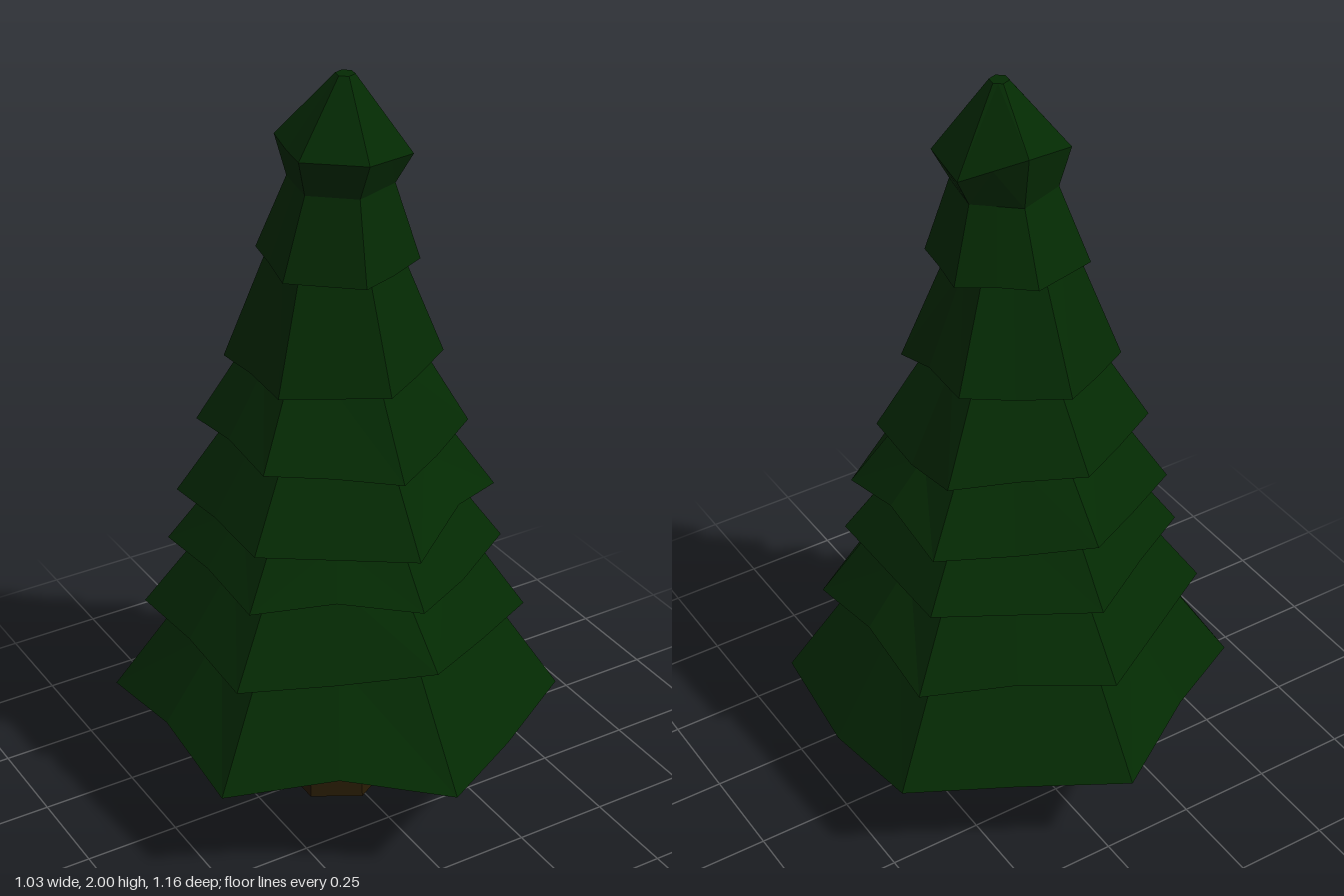
import * as THREE from 'three';

const SIDES = 12; // six corners plus the middle of each hexagon edge

// Hexagonal ring from twelve heights, starting at +z and turning towards +x;
// flare widens it where it dips, so that it stays on a sloping face
function ring(radius, heights, { x = 0, z = 0, turn = 0 }, flare = 0) {
  const mean = heights.reduce((sum, y) => sum + y, 0) / SIDES;
  return heights.map((y, k) => {
    const a = (k * Math.PI) / 6 + turn;
    const r = (radius + flare * (mean - y)) * (k % 2 ? 0.866 : 1);
    return new THREE.Vector3(x + r * Math.sin(a), y, z + r * Math.cos(a));
  });
}

const level = (y) => Array(SIDES).fill(y);

// Faceted skin through rings given from the inside/bottom to the top
function loft(name, rings, material) {
  const points = [];
  for (let i = 0; i < rings.length - 1; i++) {
    for (let k = 0; k < SIDES; k++) {
      const n = (k + 1) % SIDES;
      const [a, b, c, d] = [rings[i][k], rings[i][n], rings[i + 1][n], rings[i + 1][k]];
      // Diagonals start at the lower corners, mirrored about each edge middle
      if (k % 2) points.push(a, b, d, b, c, d);
      else points.push(a, b, c, a, c, d);
    }
  }
  const geometry = new THREE.BufferGeometry().setFromPoints(points);
  geometry.computeVertexNormals();
  const mesh = new THREE.Mesh(geometry, material);
  mesh.name = name;
  return mesh;
}

export function createModel() {
  const tree = new THREE.Group();
  tree.name = 'pineTree';
  const green = new THREE.MeshStandardMaterial({ color: 0x042a03, flatShading: true, side: THREE.DoubleSide });
  const brown = new THREE.MeshStandardMaterial({ color: 0x281b04, flatShading: true });

  // Tapered six-sided trunk
  const trunk = new THREE.Mesh(new THREE.CylinderGeometry(0.112, 0.137, 0.38, 6), brown);
  trunk.position.set(-0.012, 0.19, 0);
  trunk.name = 'trunk';
  tree.add(trunk);

  // Branch tiers: rim radius, top radius, uneven rim heights, centre and turn
  const tiers = [
    { r: 0.58, top: 0.395, y: [0.285, 0.265, 0.28, 0.25, 0.28, 0.29, 0.29, 0.33, 0.29, 0.34, 0.29, 0.34], x: -0.01 },
    { r: 0.49, top: 0.345, y: [0.6, 0.56, 0.53, 0.58, 0.53, 0.56, 0.55, 0.55, 0.55, 0.57, 0.55, 0.57], x: -0.015 },
    { r: 0.424, top: 0.305, y: [0.74, 0.72, 0.74, 0.74, 0.74, 0.74, 0.74, 0.75, 0.74, 0.76, 0.74, 0.77], x: -0.015 },
    { r: 0.4, top: 0.268, y: [0.87, 0.93, 0.89, 0.94, 0.9, 0.91, 0.93, 0.9, 0.88, 0.9, 0.89, 0.88], x: -0.012 },
    { r: 0.338, top: 0.218, y: [1.05, 1.05, 1.07, 1.05, 1.08, 1.1, 1.11, 1.09, 1.08, 1.1, 1.08, 1.07], x: -0.015, z: -0.01 },
    { r: 0.269, top: 0.16, y: [1.26, 1.26, 1.27, 1.31, 1.3, 1.29, 1.29, 1.27, 1.26, 1.27, 1.26, 1.26], x: -0.017 },
    { r: 0.2, top: 0.13, y: [1.53, 1.53, 1.54, 1.55, 1.55, 1.56, 1.56, 1.55, 1.54, 1.54, 1.53, 1.53], x: -0.015, z: 0.015, turn: -0.19 },
  ];
  // Small crown at the tip
  const crown = { r: 0.165, y: [1.83, 1.82, 1.81, 1.81, 1.81, 1.845, 1.88, 1.86, 1.84, 1.83, 1.83, 1.83], x: -0.01, z: 0.035, turn: -0.17 };
  const tip = { x: -0.01, z: 0.042, turn: crown.turn };

  const rim = (t) => ring(t.r, t.y, t);
  const topOf = (i) => {
    const t = tiers[i], next = tiers[i + 1];
    return next ? ring(t.top, next.y, t, 0.65) : ring(t.top, level(1.735), { ...t, z: 0.03 });
  };

  tiers.forEach((t, i) => {
    const rings = [rim(t), topOf(i)];
    if (i > 0) {
      rings.unshift(topOf(i - 1));
    } else {
      // Lowest tier: bulging right edge, flat lip and a recessed underside
      rings[0][3].x += 0.022;
      rings.unshift(ring(0, level(0.37), t), ring(0.43, level(0.37), t), ring(0.465, t.y, t));
    }
    tree.add(loft('branchTier' + (i + 1), rings, green));
  });

  tree.add(loft('crown', [
    topOf(tiers.length - 1),
    rim(crown),
    ring(0.024, level(2), tip),
    ring(0, level(2), tip),
  ], green));

  return tree;
}
